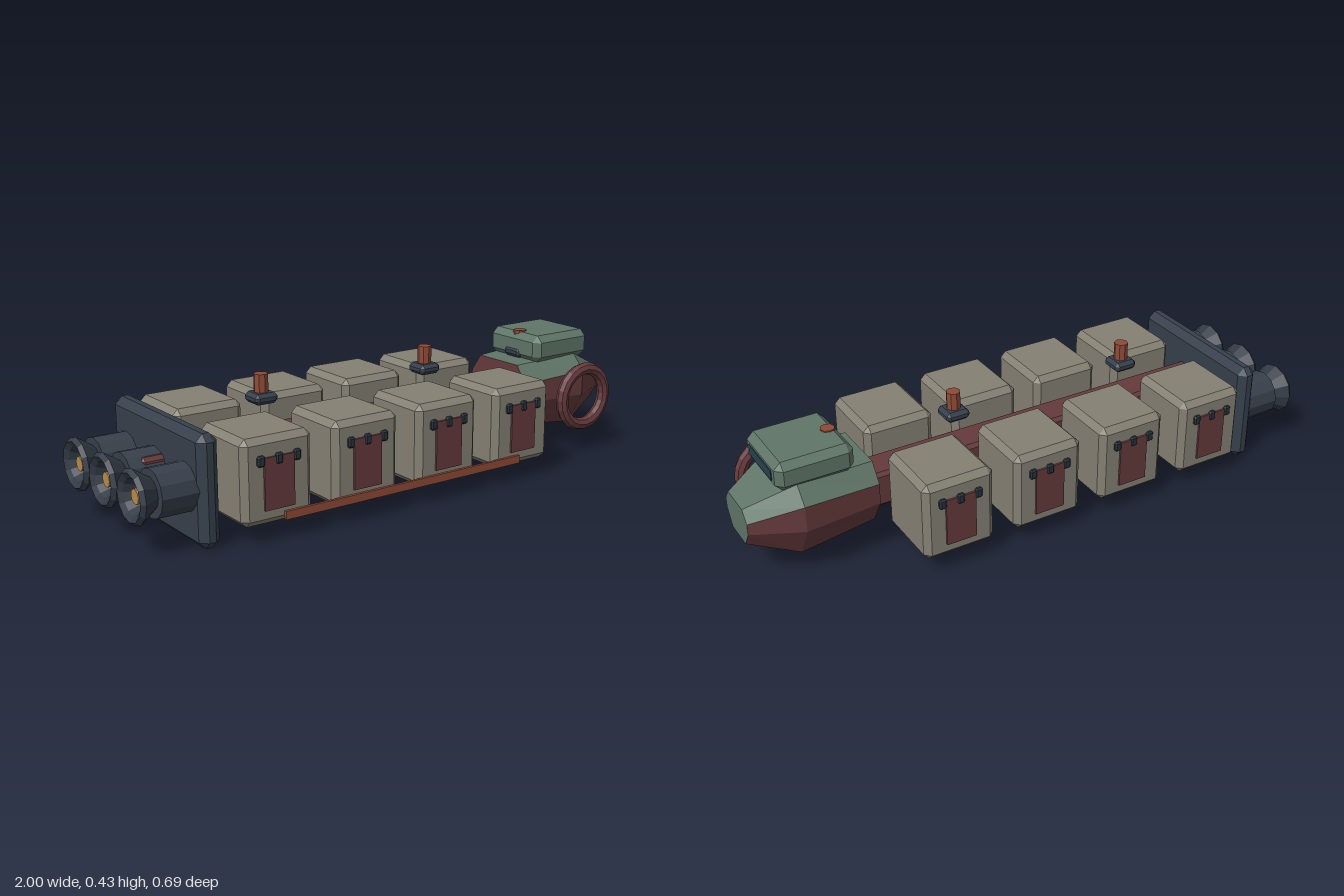
import * as THREE from 'three';
import { ConvexGeometry } from 'three/addons/geometries/ConvexGeometry.js';

const mat = (color, side = THREE.FrontSide) => new THREE.MeshStandardMaterial({ color, side, flatShading: true });
const GREEN = mat(0x5f7567), RED = mat(0x653a3c), TAN = mat(0x848073), DARK = mat(0x363f4b);
const ORANGE = mat(0x8f4a37), GLASS = mat(0x28424f), LATCH = mat(0x27323c), GLOW = mat(0xb58a4c);
const NOZZLE = mat(0x323a45, THREE.DoubleSide);

// Box with all edges bevelled by c, spanning sizes w, h, d around the origin
function bevelBox(w, h, d, c) {
  const pts = [], half = [w / 2, h / 2, d / 2];
  for (const sx of [-1, 1]) for (const sy of [-1, 1]) for (const sz of [-1, 1])
    for (let axis = 0; axis < 3; axis++) {
      const s = [sx, sy, sz];
      const p = half.map((v, i) => s[i] * (i === axis ? v : v - c));
      pts.push(new THREE.Vector3(...p));
    }
  return new ConvexGeometry(pts);
}

function add(parent, name, geometry, material, x = 0, y = 0, z = 0) {
  const mesh = new THREE.Mesh(geometry, material);
  mesh.name = name;
  mesh.position.set(x, y, z);
  parent.add(mesh);
  return mesh;
}

function group(parent, name, x = 0, y = 0, z = 0) {
  const g = new THREE.Group();
  g.name = name;
  g.position.set(x, y, z);
  parent.add(g);
  return g;
}

// Eight-sided cross-section from its right half [z, y], counter-clockwise seen from +x
function section(x, half) {
  const left = half.map(([z, y]) => new THREE.Vector3(x, y, z));
  const right = half.map(([z, y]) => new THREE.Vector3(x, y, -z)).reverse();
  return [...left, ...right];
}

// Command hull lofted through three sections, green above and red below
function buildHull(parent) {
  const sections = [
    section(0.58, [[0.1, 0.33], [0.145, 0.268], [0.145, 0.197], [0.09, 0.105]]),
    section(0.84, [[0.12, 0.342], [0.17, 0.286], [0.17, 0.197], [0.105, 0.08]]),
    section(1.0, [[0.058, 0.27], [0.089, 0.232], [0.089, 0.194], [0.054, 0.14]]),
  ];
  const upper = [], lower = [];
  for (let s = 0; s < 2; s++)
    for (let i = 0; i < 8; i++) {
      const j = (i + 1) % 8;
      const a = sections[s][i], b = sections[s][j], c = sections[s + 1][j], d = sections[s + 1][i];
      ([0, 6, 7].includes(i) ? upper : lower).push(a, b, c, a, c, d);
    }
  for (let i = 1; i < 7; i++) {
    upper.push(sections[2][0], sections[2][i], sections[2][i + 1]);
    lower.push(sections[0][0], sections[0][i + 1], sections[0][i]);
  }
  for (const [name, pts, m] of [['hullUpper', upper, GREEN], ['hullLower', lower, RED]]) {
    const geo = new THREE.BufferGeometry().setFromPoints(pts);
    geo.computeVertexNormals();
    add(parent, name, geo, m);
  }
}

// Engine pointing toward -x
function buildEngine(parent, z) {
  const engine = group(parent, 'engine', 0, 0.183, z);
  const body = add(engine, 'engineBody', new THREE.CylinderGeometry(0.078, 0.078, 0.13, 12), DARK, -0.865);
  body.rotation.z = Math.PI / 2;
  const profile = [[0.05, 0], [0.088, 0.058], [0.076, 0.072], [0.058, 0.06], [0.04, 0.025], [0, 0.025]]
    .map(([r, h]) => new THREE.Vector2(r, h));
  const nozzle = add(engine, 'nozzle', new THREE.LatheGeometry(profile, 12), NOZZLE, -0.928);
  nozzle.rotation.z = Math.PI / 2;
  const core = add(engine, 'engineCore', new THREE.CylinderGeometry(0.024, 0.024, 0.03, 10), GLOW, -0.965);
  core.rotation.z = Math.PI / 2;
}

// Cargo crate with a door and three latches on its outer side
function buildCrate(parent, x, side) {
  const crate = group(parent, 'cargoCrate', x, 0.196, side * 0.203);
  add(crate, 'crateBody', bevelBox(0.248, 0.274, 0.26, 0.02), TAN);
  add(crate, 'crateDoor', new THREE.BoxGeometry(0.105, 0.165, 0.014), RED, 0, -0.007, side * 0.13);
  for (const dx of [-0.063, 0, 0.063])
    add(crate, 'crateLatch', bevelBox(0.025, 0.034, 0.02, 0.005), LATCH, dx, 0.067, side * 0.131);
}

// Roof turret: bevelled base with a stubby post
function buildTurret(parent, x) {
  const turret = group(parent, 'turret', x);
  add(turret, 'turretBase', bevelBox(0.084, 0.036, 0.084, 0.012), DARK, 0, 0.353);
  add(turret, 'turretPost', new THREE.CylinderGeometry(0.024, 0.024, 0.062, 8), ORANGE, 0, 0.4);
}

export function createModel() {
  const model = new THREE.Group();
  model.name = 'cargoShip';

  // Spine and rear bulkhead
  add(model, 'spine', bevelBox(1.53, 0.126, 0.126, 0.012), RED, -0.125, 0.183);
  add(model, 'rearBulkhead', bevelBox(0.07, 0.357, 0.57, 0.024), DARK, -0.78, 0.1785);

  for (const z of [-0.19, 0, 0.19]) buildEngine(model, z);

  for (const side of [-1, 1])
    for (let i = 0; i < 4; i++) buildCrate(model, -0.578 + i * 0.325, side);

  for (const x of [-0.43, 0.235, 0.68]) buildTurret(model, x);

  // Command section: hull, cabin and window
  buildHull(model);
  add(model, 'cabin', bevelBox(0.26, 0.099, 0.26, 0.023), GREEN, 0.775, 0.3775);
  add(model, 'cabinWindow', new THREE.BoxGeometry(0.012, 0.036, 0.176), GLASS, 0.902, 0.378);

  // Docking ring and side rail, on one side only
  add(model, 'dockingRing', new THREE.TorusGeometry(0.103, 0.022, 8, 20), RED, 0.803, 0.205, 0.212);
  add(model, 'sideRail', new THREE.BoxGeometry(0.94, 0.027, 0.01), ORANGE, -0.09, 0.079, 0.338);

  return model;
}
